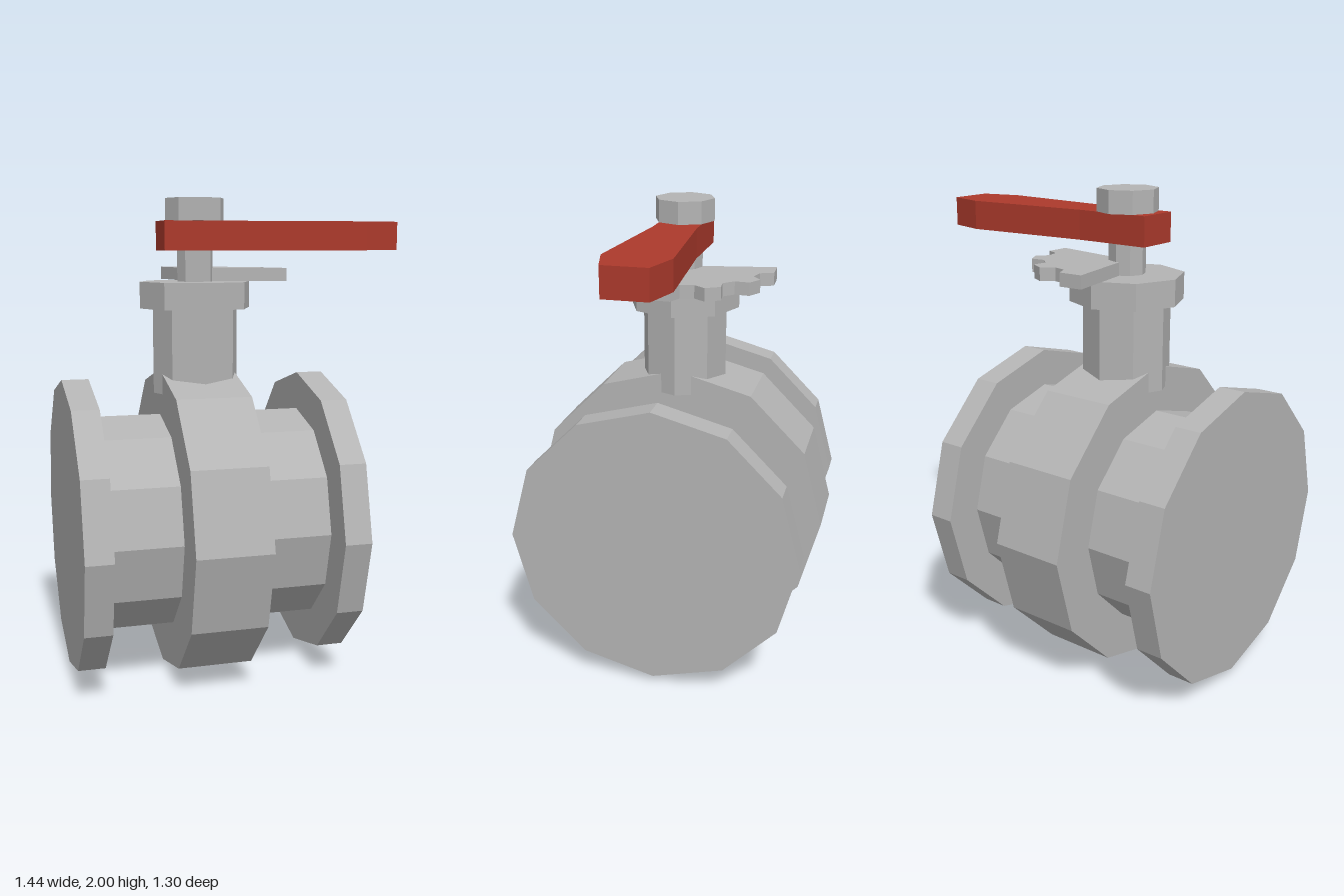
import * as THREE from 'three';

const STEM_X = -0.155;
const BODY_Y = 0.648;

export function createModel() {
  const model = new THREE.Group();
  model.name = 'valve';
  const metal = new THREE.MeshStandardMaterial({ name: 'grey metal', color: 0xb4b4b4, flatShading: true });
  const red = new THREE.MeshStandardMaterial({ name: 'red paint', color: 0xac3a2c, flatShading: true });

  const add = (name, geometry, material) => {
    const mesh = new THREE.Mesh(geometry, material);
    mesh.name = name;
    model.add(mesh);
    return mesh;
  };

  // Twelve-sided drum lying along x
  const drum = (name, radius, x0, x1) => {
    const geometry = new THREE.CylinderGeometry(radius, radius, x1 - x0, 12).rotateZ(Math.PI / 2);
    add(name, geometry, metal).position.set((x0 + x1) / 2, BODY_Y, 0);
  };

  // Eight-sided upright piece on the stem axis
  const upright = (name, radius, y0, y1) => {
    const geometry = new THREE.CylinderGeometry(radius, radius, y1 - y0, 8);
    add(name, geometry, metal).position.set(STEM_X, (y0 + y1) / 2, 0);
  };

  // Flat plate from an outline of [x, -z] points
  const plate = (name, points, y0, y1, material) => {
    const shape = new THREE.Shape(points.map(([x, y]) => new THREE.Vector2(x, y)));
    const geometry = new THREE.ExtrudeGeometry(shape, { depth: y1 - y0, bevelEnabled: false });
    geometry.rotateX(-Math.PI / 2);
    add(name, geometry, material).position.y = y0;
  };

  // Pipe body
  drum('leftFlange', 0.614, 0.3, 0.412);
  drum('leftPipe', 0.455, 0, 0.3);
  drum('valveBody', 0.648, -0.312, 0);
  drum('rightPipe', 0.455, -0.612, -0.312);
  drum('rightFlange', 0.614, -0.724, -0.612);

  // Neck, collar, stem and nut
  upright('neck', 0.182, 1.195, 1.55);
  upright('collar', 0.236, 1.55, 1.66);
  upright('stem', 0.076, 1.66, 1.79);
  upright('nut', 0.125, 1.908, 2);

  // Toothed quadrant: [angle in degrees, radius]
  const tip = 0.387, root = 0.335;
  const teeth = [[-10, tip], [5, tip]];
  for (const a of [30, 60]) teeth.push([a - 20, root], [a - 10, root], [a - 5, tip], [a + 5, tip]);
  // The notch before each tooth sits between it and the previous one
  teeth.push([70, root], [80, root], [85, tip], [100, tip]);
  const outline = teeth.map(([a, r]) => {
    const t = THREE.MathUtils.degToRad(a);
    return [STEM_X + r * Math.cos(t), r * Math.sin(t)];
  });
  plate('indexPlate', [[STEM_X, 0], ...outline], 1.66, 1.714, metal);

  // Lever handle
  plate('lever', [
    [-0.302, -0.09], [0.02, -0.09], [0.56, -0.134], [0.718, -0.09],
    [0.718, 0.09], [0.56, 0.134], [0.02, 0.09], [-0.302, 0.09],
  ], 1.788, 1.908, red);

  return model;
}
